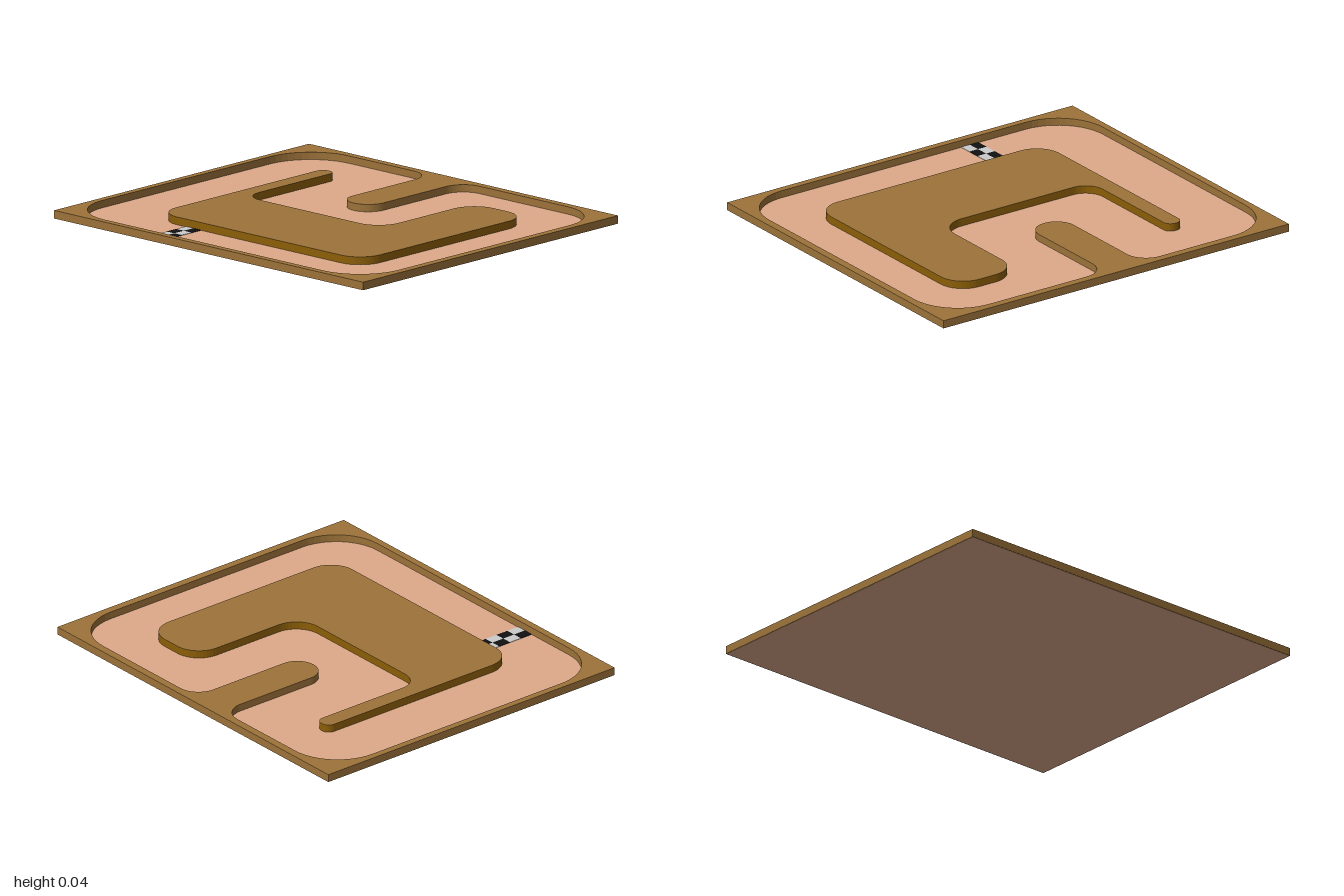
import * as THREE from 'three';

const HEIGHT = 0.04;
const FLOOR = 0.004;

const material = (color) => new THREE.MeshStandardMaterial({ color });

// Points of a right-angled outline with rounded corners; each corner is [x, z, radius].
function roundedOutline(corners, segments = 12) {
  const pts = corners.map(([x, z]) => new THREE.Vector2(x, -z));
  const outline = [];
  pts.forEach((p, i) => {
    const r = corners[i][2];
    const back = pts[(i + pts.length - 1) % pts.length].clone().sub(p).normalize();
    const ahead = pts[(i + 1) % pts.length].clone().sub(p).normalize();
    for (let s = 0; s <= segments; s++) {
      const t = (s / segments) * Math.PI / 2;
      outline.push(p.clone()
        .addScaledVector(back, r * (1 - Math.sin(t)))
        .addScaledVector(ahead, r * (1 - Math.cos(t))));
    }
  });
  return outline;
}

// Extrudes a plan shape upwards from one height to another.
function slab(name, shape, bottom, top, materials) {
  const geometry = new THREE.ExtrudeGeometry(shape, { depth: top - bottom, bevelEnabled: false });
  geometry.rotateX(-Math.PI / 2).translate(0, bottom, 0);
  const mesh = new THREE.Mesh(geometry, materials);
  mesh.name = name;
  return mesh;
}

export function createModel() {
  const group = new THREE.Group();
  group.name = 'raceTrack';
  const earth = material(0x9c7239);
  const bank = material(0x8c5e08);

  // Road surface, a thin plate under the whole track
  const road = new THREE.Mesh(new THREE.BoxGeometry(1.746, FLOOR, 1.996), material(0xdeaa8a));
  road.name = 'roadSurface';
  road.position.y = FLOOR / 2;
  group.add(road);

  // Outer border with a tongue reaching in from the +x side
  const border = new THREE.Shape([
    new THREE.Vector2(-0.875, -1), new THREE.Vector2(0.875, -1),
    new THREE.Vector2(0.875, 1), new THREE.Vector2(-0.875, 1),
  ]);
  border.holes.push(new THREE.Path(roundedOutline([
    [-0.84, -0.965, 0.26], [0.835, -0.965, 0.26],
    [0.835, -0.17, 0.11], [0.195, -0.17, 0.099],
    [0.195, 0.03, 0.099], [0.835, 0.03, 0.11],
    [0.835, 0.96, 0.25], [-0.84, 0.96, 0.25],
  ])));
  group.add(slab('outerBorder', border, 0.001, HEIGHT, earth));

  // Inner island, slightly taller than the border
  const island = new THREE.Shape(roundedOutline([
    [-0.575, -0.615, 0.13], [0.56, -0.615, 0.04],
    [0.56, -0.528, 0.04], [-0.07, -0.528, 0.1],
    [-0.07, 0.35, 0.13], [0.57, 0.35, 0.13],
    [0.57, 0.705, 0.13], [-0.575, 0.705, 0.13],
  ]));
  group.add(slab('innerIsland', island, 0.001, HEIGHT + 0.002, [earth, bank]));

  // Chequered start line across the road
  const startLine = new THREE.Group();
  startLine.name = 'startLine';
  const tones = [material(0x111111), material(0xcccccc)];
  const w = 0.265 / 4, d = 0.05;
  const tile = new THREE.BoxGeometry(w, 0.002, d);
  for (let row = 0; row < 2; row++) {
    for (let col = 0; col < 4; col++) {
      const square = new THREE.Mesh(tile, tones[(row + col) % 2]);
      square.name = 'startLineSquare';
      square.position.set(-0.84 + (col + 0.5) * w, FLOOR + 0.001, -0.43 + (row + 0.5) * d);
      startLine.add(square);
    }
  }
  group.add(startLine);

  return group;
}
